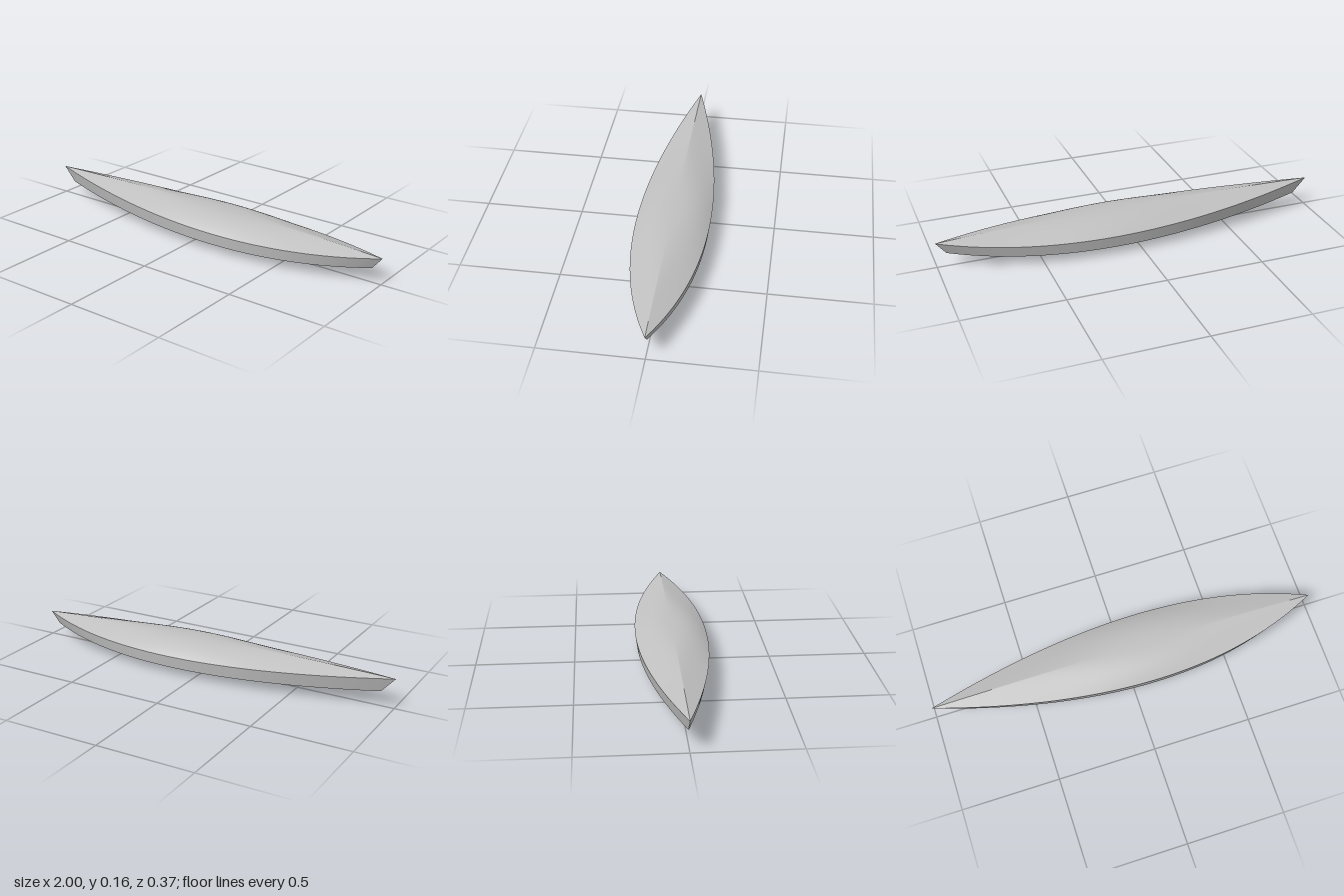
import * as THREE from 'three';

// Long hull lines, each a quadratic curve from the -x tip to the +x tip
const line = (a, b, c) => new THREE.QuadraticBezierCurve3(
  new THREE.Vector3(...a), new THREE.Vector3(...b), new THREE.Vector3(...c));

const ridge = line([-1, 0.152, 0], [0.24, 0.184, 0], [1, 0.132, 0]);
const sheer = line([-1, 0.152, 0], [0.24, 0.062, 0.37], [1, 0.132, 0]);
const chine = line([-0.93, 0.075, 0], [0.24, 0.0105, 0.354], [0.95, 0.072, 0]);
const keel = line([-0.93, 0.075, 0], [0.24, -0.0715, 0], [0.95, 0.072, 0]);

// Straight ruled surface between two lines
const ruled = (from, to) => (t, v) => from.getPoint(t).lerp(to.getPoint(t), v);

// Deck: ridged at the tips, swelling to a rounded crown amidships
function deckPoint(t, v) {
  const p = ridge.getPoint(t);
  const edge = sheer.getPoint(t);
  const power = 1 + 1.35 * Math.exp(-(((p.x - 0.1) / 0.38) ** 2));
  const drop = Math.pow(v, power);
  return new THREE.Vector3(p.x, p.y + (edge.y - p.y) * drop, edge.z * v);
}

// Grid surface for one half of the hull; side = -1 mirrors it across z
function panel(pointAt, across, side) {
  const along = 64, positions = [], index = [];
  for (let i = 0; i <= along; i++) {
    for (let j = 0; j <= across; j++) {
      const p = pointAt(0.0005 + 0.999 * i / along, j / across);
      positions.push(p.x, p.y, p.z * side);
    }
  }
  const row = across + 1;
  for (let i = 0; i < along; i++) {
    for (let j = 0; j < across; j++) {
      const a = i * row + j, b = a + 1, c = a + row, d = c + 1;
      if (side > 0) index.push(a, b, c, b, d, c);
      else index.push(a, c, b, b, c, d);
    }
  }
  const geometry = new THREE.BufferGeometry();
  geometry.setAttribute('position', new THREE.Float32BufferAttribute(positions, 3));
  geometry.setIndex(index);
  geometry.computeVertexNormals();
  return geometry;
}

export function createModel() {
  const model = new THREE.Group();
  model.name = 'boatHull';
  const grey = new THREE.MeshStandardMaterial({ color: 0xc0c0c0 });
  grey.name = 'light grey';

  const parts = [
    ['deck', deckPoint, 20],
    ['topside', ruled(sheer, chine), 2],
    ['bottom', ruled(chine, keel), 4],
  ];
  for (const [name, pointAt, across] of parts) {
    for (const side of [1, -1]) {
      const mesh = new THREE.Mesh(panel(pointAt, across, side), grey);
      mesh.name = name + (side > 0 ? 'Front' : 'Back');
      model.add(mesh);
    }
  }
  return model;
}
